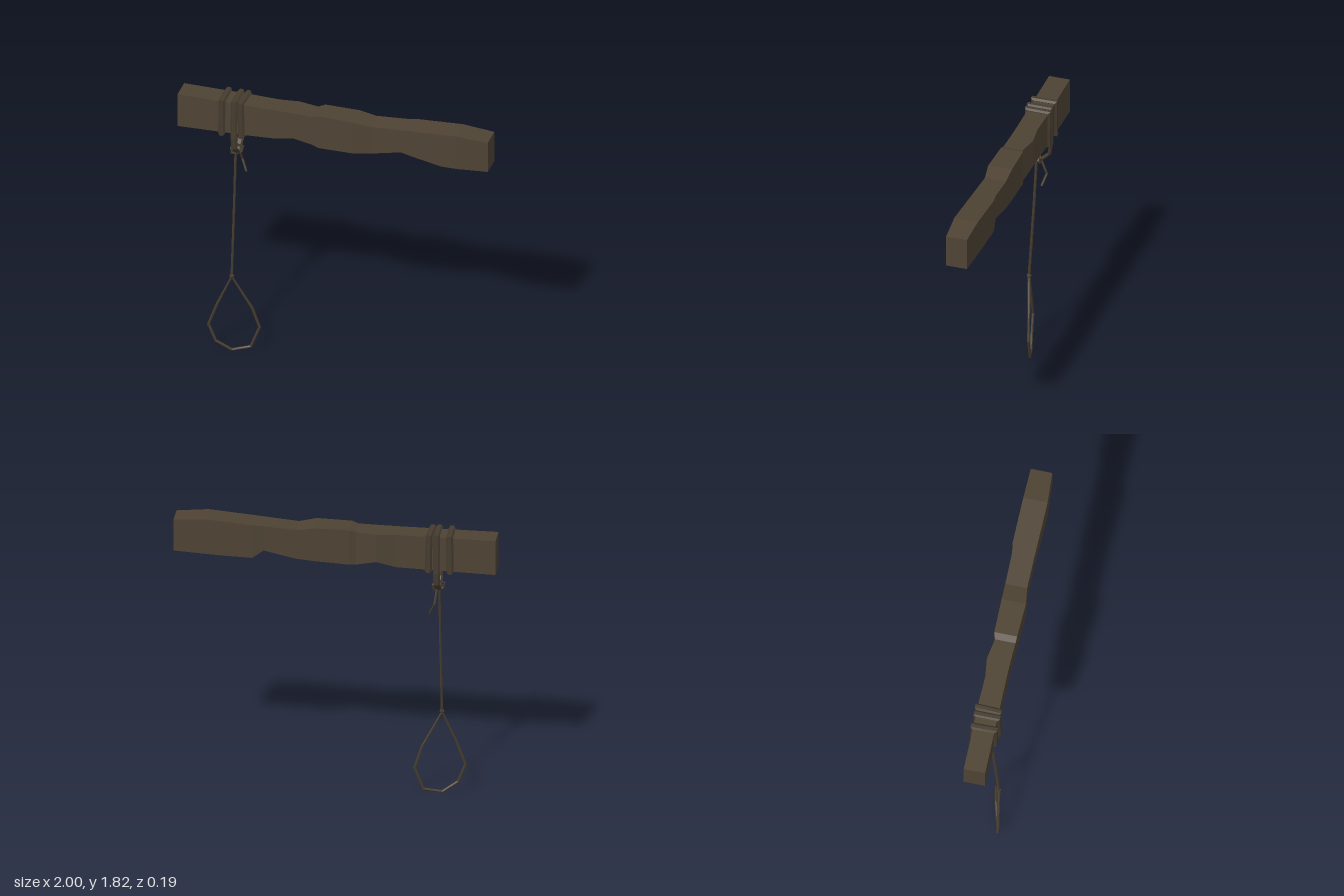
import * as THREE from 'three';

const V = (x, y, z) => new THREE.Vector3(x, y, z);

// Skin a list of equal-sized cross-sections (counter-clockwise about the path)
function loft(rings, closed) {
  const pos = [];
  const tri = (...pts) => pts.forEach(p => pos.push(p.x, p.y, p.z));
  const n = rings.length, m = rings[0].length;
  for (let i = 0; i < (closed ? n : n - 1); i++) {
    const r = rings[i], s = rings[(i + 1) % n];
    for (let j = 0; j < m; j++) {
      const k = (j + 1) % m;
      tri(r[j], r[k], s[k]);
      tri(r[j], s[k], s[j]);
    }
  }
  if (!closed) {
    for (let j = 1; j < m - 1; j++) {
      tri(rings[0][0], rings[0][j + 1], rings[0][j]);
      tri(rings[n - 1][0], rings[n - 1][j], rings[n - 1][j + 1]);
    }
  }
  const g = new THREE.BufferGeometry();
  g.setAttribute('position', new THREE.Float32BufferAttribute(pos, 3));
  g.computeVertexNormals();
  return g;
}

// Six-sided rope with mitred corners; `wide` is the half width along `axis`
function rope(path, axis, wide, thick, closed) {
  const n = path.length;
  const rings = path.map((p, i) => {
    const prev = closed ? path[(i + n - 1) % n] : path[Math.max(i - 1, 0)];
    const next = closed ? path[(i + 1) % n] : path[Math.min(i + 1, n - 1)];
    const a = p.clone().sub(prev).normalize(), b = next.clone().sub(p).normalize();
    const t = a.clone().add(b).normalize();
    const mitre = Math.min(1.4, 1 / Math.max(0.1, t.dot(b.lengthSq() ? b : a)));
    const side = axis.clone().addScaledVector(t, -axis.dot(t)).normalize();
    const out = t.clone().cross(side);
    return Array.from({ length: 6 }, (_, j) => {
      const ang = j * Math.PI / 3;
      return p.clone().addScaledVector(side, wide * Math.cos(ang))
        .addScaledVector(out, thick * mitre * Math.sin(ang));
    });
  });
  return loft(rings, closed);
}

export function createModel() {
  const group = new THREE.Group();
  const wood = new THREE.MeshStandardMaterial({ color: 0x4e4334 });
  wood.name = 'dark wood';
  wood.flatShading = true;
  const fibre = new THREE.MeshStandardMaterial({ color: 0x463c2f });
  fibre.name = 'rope brown';
  fibre.flatShading = true;
  const X = V(1, 0, 0), Z = V(0, 0, 1);
  const add = (name, geometry, material = fibre) => {
    const mesh = new THREE.Mesh(geometry, material);
    mesh.name = name;
    group.add(mesh);
    return mesh;
  };

  // Hewn beam: x, top, front bottom, back bottom, front z, back z
  const sections = [
    [-1, 1.79, 1.56, 1.56, 0.055, -0.08],
    [-0.55, 1.79, 1.575, 1.57, 0.055, -0.08],
    [-0.38, 1.79, 1.585, 1.572, 0.055, -0.075],
    [-0.26, 1.79, 1.61, 1.605, 0.057, -0.09],
    [-0.13, 1.79, 1.59, 1.57, 0.062, -0.067],
    [-0.09, 1.805, 1.575, 1.573, 0.064, -0.08],
    [0.13, 1.805, 1.583, 1.583, 0.073, -0.08],
    [0.24, 1.785, 1.592, 1.592, 0.057, -0.08],
    [0.44, 1.8, 1.64, 1.635, 0.06, -0.08],
    [0.51, 1.805, 1.625, 1.585, 0.062, -0.09],
    [0.7, 1.818, 1.59, 1.588, 0.066, -0.087],
    [0.8, 1.825, 1.592, 1.592, 0.068, -0.085],
    [1, 1.81, 1.6, 1.6, 0.055, -0.08],
  ];
  add('beam', loft(sections.map(([x, top, fb, bb, f, b]) =>
    [V(x, top, f), V(x, fb, f), V(x, bb, b), V(x, top, b)])), wood);

  // Rope turns bound tightly round the beam
  for (const [x, lean] of [[-0.715, 0.003], [-0.587, -0.005]]) {
    add('beamWrap', rope([
      V(x + lean, 1.795, 0.06), V(x, 1.565, 0.06),
      V(x - lean, 1.565, -0.083), V(x, 1.795, -0.083),
    ], X, 0.022, 0.014, true));
  }

  // Slack turn hanging below the beam
  const hx = -0.633;
  add('hangingWrap', rope([
    V(hx, 1.8, 0.062), V(hx, 1.55, 0.07), V(hx, 1.47, 0.059), V(hx, 1.415, 0.006),
    V(hx, 1.415, -0.012), V(hx, 1.47, -0.07), V(hx, 1.55, -0.083), V(hx, 1.8, -0.083),
  ], X, 0.021, 0.011, true));

  // Hitch and loose tail
  add('hitch', rope([
    V(-0.635, 1.462, 0), V(-0.667, 1.442, 0.016), V(-0.662, 1.41, 0.018), V(-0.635, 1.402, 0.008),
    V(-0.61, 1.408, -0.015), V(-0.603, 1.442, -0.022),
  ], Z, 0.009, 0.008, true));
  add('looseTail', rope([
    V(-0.64, 1.43, 0.005), V(-0.626, 1.405, -0.025), V(-0.618, 1.33, -0.058), V(-0.585, 1.258, -0.035),
  ], Z, 0.008, 0.007));

  // Long drop
  add('dropRope', rope([
    V(-0.638, 1.42, 0.015), V(-0.641, 1.08, 0.033), V(-0.647, 0.55, 0.067),
  ], Z, 0.009, 0.008));

  // Knot and end loop
  const knot = add('knot', new THREE.IcosahedronGeometry(0.017, 0));
  knot.position.set(-0.647, 0.55, 0.067);
  add('endLoop', rope([
    V(-0.647, 0.545, 0.067), V(-0.735, 0.345, 0.081), V(-0.79, 0.19, 0.089), V(-0.745, 0.073, 0.082),
    V(-0.65, 0.011, 0.056), V(-0.538, 0.036, 0.025), V(-0.484, 0.18, 0.016), V(-0.526, 0.315, 0.028),
  ], Z, 0.009, 0.009, true));

  return group;
}
